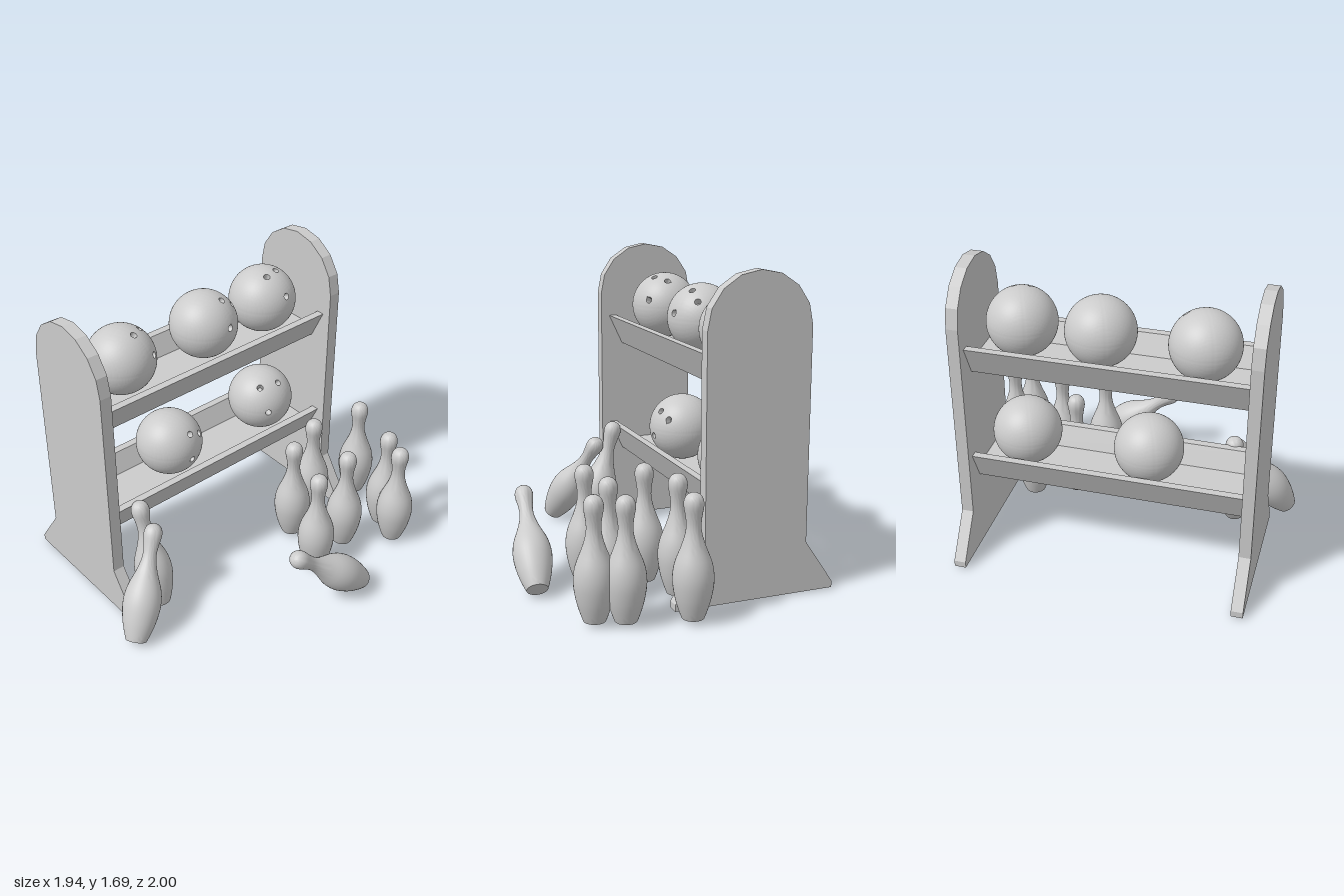
import * as THREE from 'three';
import { toCreasedNormals } from 'three/addons/utils/BufferGeometryUtils.js';

const material = new THREE.MeshStandardMaterial({ color: 0xcccccc });
const V3 = (x, y, z) => new THREE.Vector3(x, y, z);

function addMesh(parent, geometry, name) {
  const mesh = new THREE.Mesh(geometry, material);
  mesh.name = name;
  parent.add(mesh);
  return mesh;
}

// Extrude a shape along z, centred on z = 0
function extrudeCentred(shape, depth) {
  return new THREE.ExtrudeGeometry(shape, { depth, bevelEnabled: false }).translate(0, 0, -depth / 2);
}

// End panel: flared foot, straight sides, faceted round top
function panelGeometry() {
  const half = 0.284, foot = 0.443, springY = 1.406;
  const pts = [[-foot, 0.01], [foot, 0.01], [foot, 0.045], [half, 0.28]];
  for (let i = 0; i <= 8; i++) {
    const a = (i / 8) * Math.PI;
    pts.push([half * Math.cos(a), springY + half * Math.sin(a)]);
  }
  pts.push([-half, 0.28], [-foot, 0.045]);
  return extrudeCentred(new THREE.Shape(pts.map(p => new THREE.Vector2(...p))), 0.065);
}

// Tray: channel with sloping walls and a flat floor
function trayGeometry() {
  const side = [[0.155, 0], [0.235, 0.17], [0.192, 0.17], [0.14, 0.06]];
  const pts = [...side, ...side.map(([x, y]) => [-x, y]).reverse()];
  return extrudeCentred(new THREE.Shape(pts.map(p => new THREE.Vector2(...p))), 1.48);
}

// Ball: fine sphere whose vertices sink inward around each finger hole
function ballGeometry(holes) {
  const radius = 0.187, holeAngle = 0.096, depth = 0.05;
  const geometry = new THREE.IcosahedronGeometry(radius, 26);
  const axes = holes.map(h => V3(...h).normalize());
  const pos = geometry.attributes.position, p = V3(), spin = V3();
  for (let i = 0; i < pos.count; i++) {
    p.fromBufferAttribute(pos, i).normalize();
    let r = radius;
    for (const axis of axes) {
      const d = p.angleTo(axis);
      if (d >= holeAngle * 1.45 || d < 1e-5) {
        if (d < 1e-5) r = radius - depth;
        continue;
      }
      const inside = d < holeAngle;
      const target = inside ? Math.min(holeAngle, d * 1.4) : holeAngle;
      spin.crossVectors(axis, p).normalize();
      p.copy(axis).applyAxisAngle(spin, target);
      if (inside) r = radius - depth;
      break;
    }
    pos.setXYZ(i, p.x * r, p.y * r, p.z * r);
  }
  return toCreasedNormals(geometry, 0.6);
}

// Pin: smooth lathe profile on a flat base
function pinGeometry() {
  const profile = [[0.056, 0], [0.071, 0.04], [0.091, 0.11], [0.103, 0.2], [0.093, 0.28], [0.063, 0.36],
    [0.044, 0.42], [0.037, 0.47], [0.041, 0.52], [0.05, 0.575], [0.043, 0.61], [0.024, 0.63], [0, 0.636]];
  const curve = new THREE.SplineCurve(profile.map(p => new THREE.Vector2(...p)));
  const pts = [new THREE.Vector2(0, 0), ...curve.getPoints(36)];
  pts.forEach(p => { p.x = Math.max(0, p.x); });
  return toCreasedNormals(new THREE.LatheGeometry(pts, 36), 0.7);
}

export function createModel() {
  const model = new THREE.Group();
  model.name = 'bowlingRackWithPins';

  // Rack turned about the vertical axis
  const rack = new THREE.Group();
  rack.name = 'rack';
  rack.position.set(-0.2375, 0, -0.085);
  rack.rotation.y = -THREE.MathUtils.degToRad(23.9);
  model.add(rack);

  const panel = panelGeometry();
  addMesh(rack, panel, 'frontEndPanel').position.z = 0.771;
  addMesh(rack, panel, 'backEndPanel').position.z = -0.771;

  const tray = trayGeometry();
  addMesh(rack, tray, 'upperTray').position.y = 1.1;
  addMesh(rack, tray, 'lowerTray').position.y = 0.445;

  // Balls: centre, then the direction of each finger hole
  const balls = [
    { at: [-0.44, 1.358, 0.338], holes: [[0.085, 0.165, 0], [0.068, 0.15, -0.088], [0.176, 0.047, -0.045]] },
    { at: [-0.215, 1.358, -0.157], holes: [[0.1, 0.157, -0.022], [0.128, 0.105, -0.088], [0.179, 0.037, 0.037]] },
    { at: [-0.045, 1.358, -0.543], holes: [[0.05, 0.168, 0.055], [0.065, 0.171, -0.03], [0.165, 0.072, 0.045]] },
    { at: [-0.32, 0.691, 0.08], holes: [[0.15, 0.11, 0.025], [0.163, 0.073, -0.05], [0.175, -0.035, 0.055]] },
    { at: [-0.045, 0.691, -0.543], holes: [[0.05, 0.14, 0.113], [0.122, 0.14, 0.02], [0.12, 0.005, 0.143]] },
  ];
  balls.forEach(({ at, holes }, i) => addMesh(model, ballGeometry(holes), `ball${i + 1}`).position.set(...at));

  // Standing pins
  const pin = pinGeometry();
  const standing = [[0.505, -0.77], [0.325, -0.495], [0.76, -0.565], [0.865, -0.455],
    [0.31, -0.24], [0.615, -0.29], [0.545, -0.035]];
  standing.forEach(([x, z], i) => addMesh(model, pin, `standingPin${i + 1}`).position.set(x, 0.025, z));

  // Tilted pins, from base centre towards tip
  const tilted = [
    { name: 'leaningPin', base: V3(-0.1, 0.03, 0.632), tip: V3(-0.245, 0.645, 0.567) },
    { name: 'tippingPin', base: V3(-0.073, 0.033, 0.953), tip: V3(-0.138, 0.556, 0.587) },
    { name: 'fallingPin', base: V3(0.845, 0.047, 0), tip: V3(0.588, 0.457, 0.42) },
  ];
  for (const { name, base, tip } of tilted) {
    const mesh = addMesh(model, pin, name);
    mesh.position.copy(base);
    mesh.quaternion.setFromUnitVectors(V3(0, 1, 0), tip.clone().sub(base).normalize());
  }
  return model;
}
